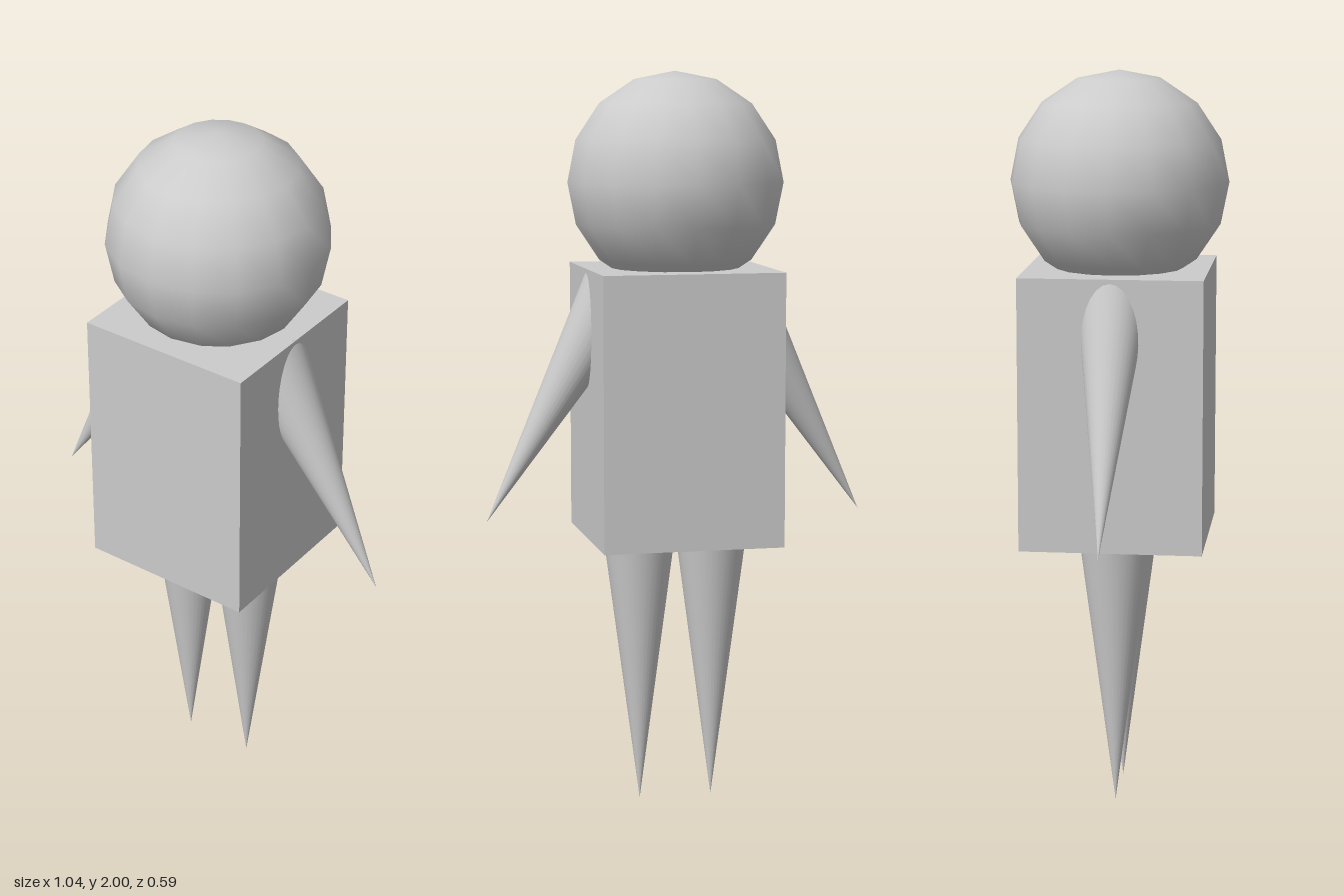
import * as THREE from 'three';

export function createModel() {
  const model = new THREE.Group();
  const material = new THREE.MeshStandardMaterial({ color: 0xcccccc });

  const add = (name, geometry, x, y, tilt = 0) => {
    const mesh = new THREE.Mesh(geometry, material);
    mesh.name = name;
    mesh.position.set(x, y, 0);
    mesh.rotation.z = tilt;
    model.add(mesh);
  };

  // Head: coarse sphere with smooth normals
  add('head', new THREE.SphereGeometry(0.294, 16, 8), 0, 1.706);

  // Square torso
  add('torso', new THREE.BoxGeometry(0.49, 0.735, 0.49), 0, 1.1075);

  // Limbs: cones with the tip pointing down
  const legLength = 0.742;
  const leg = new THREE.ConeGeometry(0.098, legLength, 32).rotateX(Math.PI);
  leg.translate(0, legLength / 2, 0);
  const armLength = 0.73;
  const arm = new THREE.ConeGeometry(0.097, armLength, 32).rotateX(Math.PI);
  arm.translate(0, armLength / 2, 0);

  for (const [side, s] of [['left', 1], ['right', -1]]) {
    add(side + 'Leg', leg, s * 0.101, 0);
    // Arms are placed by the tip and lean in towards the shoulder
    add(side + 'Arm', arm, s * 0.521, 0.795, s * Math.PI / 6);
  }

  return model;
}
